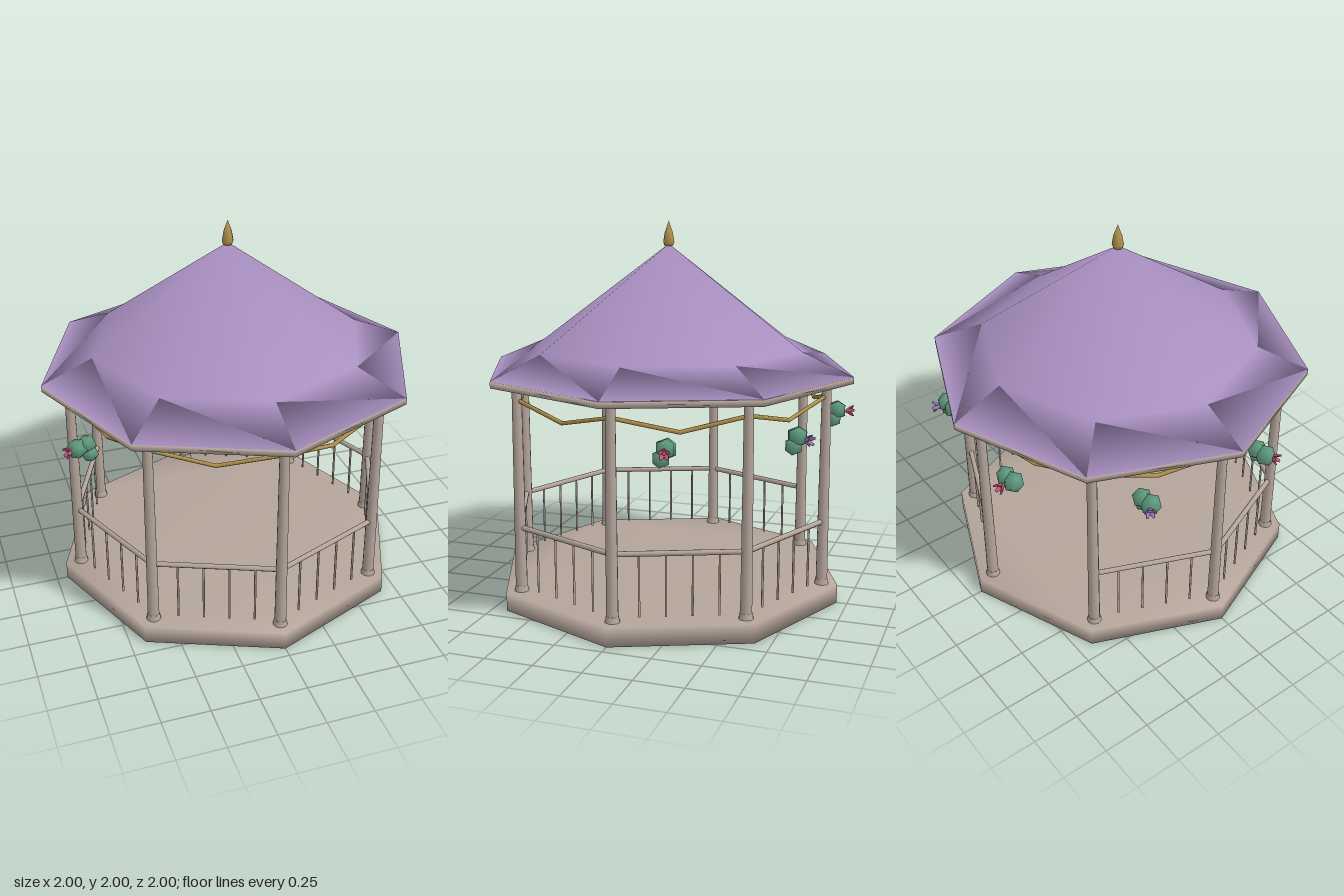
import * as THREE from 'three';
import { mergeVertices } from 'three/addons/utils/BufferGeometryUtils.js';

const paint = (name, color) => {
  const m = new THREE.MeshStandardMaterial({ color });
  m.name = name;
  return m;
};

// Weld a geometry so shading rolls softly over its edges
function soften(geo) {
  geo.deleteAttribute('uv');
  geo.deleteAttribute('normal');
  const welded = mergeVertices(geo, 1e-4);
  welded.computeVertexNormals();
  return welded;
}

// Point at an angle measured from +z towards +x
const polar = (deg, r, y) => {
  const a = THREE.MathUtils.degToRad(deg);
  return new THREE.Vector3(Math.sin(a) * r, y, Math.cos(a) * r);
};

// Eight-sided slab with corners on the axes
function slab(r, y0, y1) {
  const shape = new THREE.Shape();
  for (let i = 0; i < 8; i++) {
    const p = polar(i * 45, r, 0);
    i ? shape.lineTo(p.x, p.z) : shape.moveTo(p.x, p.z);
  }
  const geo = new THREE.ExtrudeGeometry(shape, { depth: y1 - y0, bevelEnabled: false });
  geo.rotateX(-Math.PI / 2).translate(0, y0, 0);
  return soften(geo);
}

const lathe = (pts, sides) =>
  soften(new THREE.LatheGeometry(pts.map(([x, y]) => new THREE.Vector2(x, y)), sides));

export function createModel() {
  const group = new THREE.Group();
  const stone = paint('warm stone', 0xb5a59b);
  const roofPaint = paint('lilac roof', 0xa88fc0);
  const gold = paint('old gold', 0xb0914a);
  const leaf = paint('leaf green', 0x5f9a7e);
  const pink = paint('rose pink', 0xc4567c);
  const violet = paint('violet', 0x9878b8);

  const add = (name, geo, mat, parent = group) => {
    const mesh = new THREE.Mesh(geo, mat);
    mesh.name = name;
    parent.add(mesh);
    return mesh;
  };

  // Straight round bar between two points
  const up = new THREE.Vector3(0, 1, 0);
  const rod = (name, a, b, r, sides, mat) => {
    const d = b.clone().sub(a);
    const mesh = add(name, new THREE.CylinderGeometry(r, r, d.length(), sides), mat);
    mesh.position.copy(a).add(b).multiplyScalar(0.5);
    mesh.quaternion.setFromUnitVectors(up, d.normalize());
    return mesh;
  };

  // Floor, eave plate, roof and finial
  add('floor', slab(0.945, 0, 0.1), stone);
  add('eavePlate', slab(1, 1.19, 1.222), stone);
  add('roof', lathe([[0, 1.224], [1, 1.224], [0.73, 1.34], [0, 1.88]], 8), roofPaint);
  add('finial', lathe([[0, 1.865], [0.024, 1.87], [0.031, 1.89], [0.022, 1.94], [0, 2]], 8), gold);

  const R = 0.86;
  const entrance = 4; // bay left open at the back
  for (let i = 0; i < 8; i++) {
    const a = i * 45, b = a + 45;

    // Post with a flared foot
    const post = add('post', new THREE.CylinderGeometry(0.025, 0.031, 1.1, 12), stone);
    post.position.copy(polar(a, R, 0.65));
    const foot = add('postFoot', new THREE.CylinderGeometry(0.032, 0.038, 0.03, 12), stone);
    foot.position.copy(polar(a, R, 0.115));

    // Garland hanging between neighbouring posts
    const low = polar(a, R, 1.045).lerp(polar(b, R, 1.045), 0.5);
    rod('garland', polar(a, R, 1.12), low, 0.011, 6, gold);
    rod('garland', low, polar(b, R, 1.12), 0.011, 6, gold);
    const knot = add('garlandJoint', new THREE.SphereGeometry(0.011, 8, 6), gold);
    knot.position.copy(low);

    // Handrail and balusters
    if (i === entrance) continue;
    rod('handrail', polar(a, R, 0.445), polar(b, R, 0.445), 0.014, 8, stone);
    for (let k = 1; k < 5; k++) {
      const foot = polar(a, R, 0.12).lerp(polar(b, R, 0.12), k / 5);
      rod('baluster', foot, foot.clone().setY(0.44), 0.006, 6, stone);
    }
  }

  // Leaf clusters, each with one open flower facing outwards
  const clumps = [[-0.028, 0.003, 0, 0.056], [0.025, 0.014, -0.012, 0.052], [0.035, -0.032, 0.006, 0.047]];
  for (let k = 0; k < 5; k++) {
    const angle = 107.4 + 45 * k;
    const posy = new THREE.Group();
    posy.name = 'posy';
    posy.position.copy(polar(angle, 0.9, 0.982));
    group.add(posy);
    for (const [x, y, z, r] of clumps) {
      add('leafClump', soften(new THREE.IcosahedronGeometry(r, 0)), leaf, posy).position.set(x, y, z);
    }
    const flower = new THREE.Group();
    flower.name = 'flower';
    flower.position.copy(polar(angle, 0.035, 0.004));
    flower.rotation.y = THREE.MathUtils.degToRad(angle);
    posy.add(flower);
    const petalPaint = k % 2 ? violet : pink;
    add('flowerHeart', new THREE.SphereGeometry(0.013, 8, 6), petalPaint, flower).position.z = 0.03;
    for (let p = 0; p < 5; p++) {
      // Petal leaning out of the cup
      const geo = new THREE.SphereGeometry(1, 6, 5);
      geo.scale(0.012, 0.005, 0.026).translate(0, 0, 0.026);
      geo.rotateX(-0.55).translate(0, 0.004, 0.022);
      add('petal', geo, petalPaint, flower).rotation.z = (p * Math.PI * 2) / 5;
    }
  }
  return group;
}
